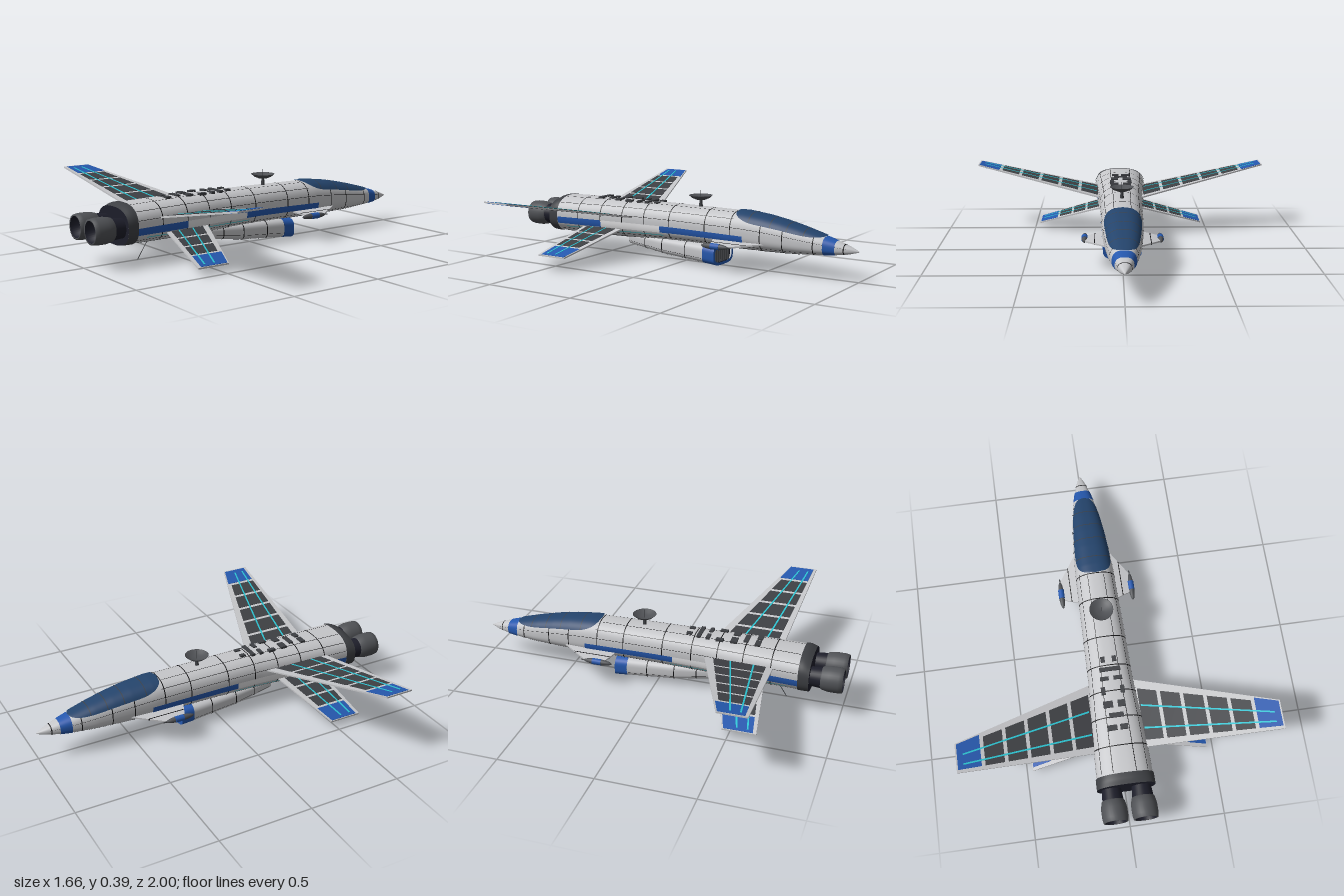
import * as THREE from 'three';

const mat = (name, color) => Object.assign(new THREE.MeshStandardMaterial({ color }), { name });
const M = {
  hull: mat('hull grey', 0xc6c7ca), white: mat('white stripe', 0xeeeef0), dark: mat('dark panel', 0x3e4044),
  navy: mat('engine navy', 0x1d1e2a), steel: mat('nozzle steel', 0x505256), blue: mat('blue paint', 0x2558ae),
  glass: mat('canopy glass', 0x24446c), cyan: mat('cyan line', 0x2cc6d4), seam: mat('panel seam', 0x121214),
};
const D = Math.PI / 180;

// Lofted hull: rows are [z, halfWidth, top, bottom, middle]; returns a surface function of z, angle from top, offset
function hullSurface(rows, n) {
  return (z, a, off = 0) => {
    let i = 0;
    while (i < rows.length - 2 && z > rows[i + 1][0]) i++;
    const p = rows[i], q = rows[i + 1], t = (z - p[0]) / (q[0] - p[0]);
    const [w, top, bot, mid] = [1, 2, 3, 4].map(k => p[k] + (q[k] - p[k]) * t);
    const s = Math.sin(a), c = Math.cos(a), e = 2 / n;
    const h = c > 0 ? top - mid : mid - bot;
    return [Math.sign(s) * Math.abs(s) ** e * (w + off), mid + Math.sign(c) * Math.abs(c) ** e * (h + off), z];
  };
}

// Part of a hull surface between two z values and two angles (angles may depend on z)
function patch(name, surf, material, z0, z1, a0, a1, off = 0, nz = 12, na = 8) {
  const f = v => (typeof v === 'function' ? v : () => v);
  const lo = f(a0), hi = f(a1), pos = [], idx = [];
  for (let i = 0; i <= nz; i++) {
    const z = z0 + (z1 - z0) * i / nz;
    for (let j = 0; j <= na; j++) pos.push(...surf(z, lo(z) + (hi(z) - lo(z)) * j / na, off));
  }
  for (let i = 0; i < nz; i++) for (let j = 0; j < na; j++) {
    const a = i * (na + 1) + j, b = a + na + 1;
    idx.push(a, b, a + 1, b, b + 1, a + 1);
  }
  const g = new THREE.BufferGeometry();
  g.setAttribute('position', new THREE.Float32BufferAttribute(pos, 3));
  g.setIndex(idx);
  g.computeVertexNormals();
  return mesh(name, g, material);
}

function mesh(name, g, material, x = 0, y = 0, z = 0) {
  const m = new THREE.Mesh(g, material);
  m.name = name;
  m.position.set(x, y, z);
  return m;
}

// Flat end outline of a hull surface, facing +z
function outline(surf, z, off) {
  const pts = [];
  for (let i = 0; i < 48; i++) { const p = surf(z, -i / 48 * Math.PI * 2, off); pts.push(new THREE.Vector2(p[0], p[1])); }
  return pts;
}

// Slab on a wing; w = { root: [x, y, zLead, zTrail], tip: [...] }, u along span, v along chord, h height
function slab(name, w, side, material, u0, u1, v0, v1, h0, h1) {
  const g = new THREE.BoxGeometry(1, 1, 1), p = g.attributes.position;
  const mix = (a, b, t) => a + (b - a) * t;
  const at = (v, t) => (Array.isArray(v) ? mix(v[0], v[1], t) : v);
  for (let i = 0; i < p.count; i++) {
    const t = 0.5 + side * p.getX(i), u = mix(u0, u1, t);
    const v = mix(at(v0, t), at(v1, t), p.getZ(i) + 0.5);
    const [x, y, zl, zt] = w.root.map((r, k) => mix(r, w.tip[k], u));
    p.setXYZ(i, side * x, y + mix(h0, h1, p.getY(i) + 0.5), mix(zl, zt, v));
  }
  g.computeVertexNormals();
  return mesh(name, g, material);
}

function wing(name, w, side, panels, blueFrom) {
  const g = new THREE.Group();
  g.name = name;
  g.add(slab('wingPlate', w, side, M.hull, 0, 1, 0, 1, -0.004, 0.004));
  const step = (blueFrom - 0.04) / panels;
  for (let i = 0; i < panels; i++)
    g.add(slab('wingPanel', w, side, M.dark, 0.04 + i * step, 0.04 + (i + 0.84) * step, 0.13, 0.9, -0.0055, 0.0055));
  g.add(slab('wingTipPaint', w, side, M.blue, blueFrom, 0.99, 0.04, 0.9, -0.0055, 0.0055));
  g.add(slab('frontGlowLine', w, side, M.cyan, 0.05, 0.95, [0.37, 0.41], [0.395, 0.46], 0.005, 0.007));
  g.add(slab('rearGlowLine', w, side, M.cyan, 0.05, 0.95, [0.71, 0.72], [0.735, 0.77], 0.005, 0.007));
  return g;
}

export function createModel() {
  const root = new THREE.Group();
  root.name = 'spacecraft';
  const add = (...m) => root.add(...m);

  // Fuselage
  const body = hullSurface([
    [-1, 0.002, 0.157, 0.153, 0.155], [-0.95, 0.025, 0.178, 0.139, 0.157], [-0.88, 0.045, 0.2, 0.128, 0.16],
    [-0.8, 0.063, 0.222, 0.121, 0.165], [-0.7, 0.079, 0.249, 0.115, 0.172], [-0.6, 0.09, 0.272, 0.112, 0.18],
    [-0.5, 0.098, 0.29, 0.11, 0.186], [-0.38, 0.105, 0.303, 0.11, 0.192], [0, 0.113, 0.306, 0.11, 0.2],
    [0.25, 0.118, 0.307, 0.104, 0.2], [0.5, 0.135, 0.307, 0.1, 0.2], [0.8, 0.147, 0.3, 0.1, 0.197], [0.83, 0.147, 0.285, 0.102, 0.195],
  ], 2.5);
  const PI = Math.PI;
  add(patch('fuselage', body, M.hull, -1, 0.83, -PI, PI, 0, 122, 80));
  add(patch('noseBand', body, M.blue, -0.885, -0.825, -PI, PI, 0.002, 4, 64));
  add(patch('rearCollar', body, M.dark, 0.775, 0.832, -PI, PI, 0.004, 4, 64));
  add(mesh('rearBulkhead', new THREE.ShapeGeometry(new THREE.Shape(outline(body, 0.83, 0.004))), M.navy, 0, 0, 0.832));

  // Canopy and its frames
  const edge = z => 60 * D * Math.sqrt(Math.max(0, 1 - Math.abs(2 * (z + 0.83) / 0.5 - 1) ** 5));
  add(patch('canopy', body, M.glass, -0.83, -0.33, z => -edge(z), edge, 0.006, 60, 32));
  for (const z of [-0.73, -0.64, -0.55, -0.43])
    add(patch('canopyFrame', body, M.dark, z, z + 0.004, -edge(z), edge(z), 0.0075, 1, 32));

  // Panel seams
  for (const z of [-0.93, -0.78, -0.62, -0.5, -0.33, -0.18, 0.04, 0.2, 0.34, 0.48, 0.63])
    add(patch('ringSeam', body, M.seam, z, z + 0.005, -PI, PI, 0.0018, 1, 72));
  for (const s of [1, -1]) {
    // Lengthwise seams, stripes and belly plating, mirrored
    const strip = (name, m, z0, z1, d0, d1, off) =>
      add(patch(name, body, m, z0, z1, Math.min(s * d0, s * d1) * D, Math.max(s * d0, s * d1) * D, off, 40, 6));
    strip('topSeam', M.seam, -0.32, 0.77, 18, 19.3, 0.0018);
    strip('shoulderSeam', M.seam, -0.34, 0.77, 49, 50.5, 0.0018);
    strip('sideSeam', M.seam, -0.95, 0.77, 76, 77, 0.0018);
    strip('lowerSeam', M.seam, -0.95, 0.77, 128, 129.5, 0.0018);
    strip('rearStripe', M.blue, 0.48, 0.775, 91, 109, 0.0025);
    strip('middleStripe', M.white, 0.1, 0.48, 91, 109, 0.0025);
    strip('frontStripe', M.blue, -0.4, 0.1, 91, 109, 0.0025);
    strip('sideGlowLine', M.cyan, 0.08, 0.72, 117, 119.5, 0.003);
    for (let i = 0; i < 6; i++) strip('bellyPanel', M.dark, -0.7 + i * 0.245, -0.47 + i * 0.245, 146, 177, 0.0015);

    // Wings
    add(wing('upperWing', { root: [0.1, 0.225, 0.27, 0.642], tip: [0.83, 0.37, 0.53, 0.68] }, s, 5, 0.83));
    add(wing('lowerWing', { root: [0.11, 0.155, 0.35, 0.6], tip: [0.468, 0.04, 0.47, 0.645] }, s, 3, 0.72));

    // Canards with tip pods
    const canard = { root: [0.09, 0.155, -0.52, -0.22], tip: [0.19, 0.14, -0.37, -0.26] };
    add(slab('canard', canard, s, M.hull, 0, 1, 0, 1, -0.004, 0.004));
    add(slab('canardSeam', canard, s, M.seam, 0.5, 0.54, 0, 1, -0.005, 0.005));
    const pod = mesh('canardPod', new THREE.SphereGeometry(0.016, 16, 12), M.steel, s * 0.194, 0.14, -0.29);
    pod.scale.z = 5;
    const band = mesh('canardPodBand', new THREE.CylinderGeometry(0.0165, 0.0165, 0.05, 16), M.blue, s * 0.194, 0.14, -0.295);
    band.rotation.x = PI / 2;
    const needle = mesh('canardNeedle', new THREE.CylinderGeometry(0.003, 0.003, 0.05, 8), M.dark, s * 0.194, 0.14, -0.36);
    needle.rotation.x = PI / 2;
    add(pod, band, needle);

    // Engines: neck, bell nozzle with a hollow bore and a centre cone
    const engine = new THREE.Group();
    engine.name = 'engine';
    const lathe = pts => new THREE.LatheGeometry(pts.map(p => new THREE.Vector2(...p)), 32);
    engine.add(mesh('engineNeck', new THREE.CylinderGeometry(0.056, 0.05, 0.08, 32), M.navy, 0, 0.04, 0));
    engine.add(mesh('nozzle', lathe([[0.05, 0.055], [0.06, 0.065], [0.067, 0.1], [0.067, 0.15], [0.063, 0.172], [0.055, 0.172]]), M.steel));
    engine.add(mesh('nozzleBore', lathe([[0.055, 0.172], [0.047, 0.11], [0.001, 0.11]]), M.navy));
    engine.add(mesh('nozzleCone', new THREE.ConeGeometry(0.022, 0.04, 20), M.navy, 0, 0.13, 0));
    engine.position.set(s * 0.077, 0.193, 0.828);
    engine.rotation.x = PI / 2;
    add(engine);
  }

  // Belly intake
  const scoop = hullSurface([
    [-0.23, 0.1, 0.118, 0.008, 0.06], [-0.16, 0.102, 0.125, 0.015, 0.065], [0.1, 0.09, 0.13, 0.034, 0.08], [0.34, 0.06, 0.13, 0.065, 0.1],
  ], 3.4);
  add(patch('intakeDuct', scoop, M.hull, -0.16, 0.34, -PI, PI, 0, 20, 64));
  add(patch('intakeLip', scoop, M.blue, -0.23, -0.16, -PI, PI, 0.001, 3, 64));
  for (const z of [-0.05, 0.1, 0.22]) add(patch('ductSeam', scoop, M.seam, z, z + 0.005, -PI, PI, 0.0015, 1, 64));
  for (const a of [100, 140]) for (const s of [1, -1])
    add(patch('ductLine', scoop, M.seam, -0.16, 0.34, (s * a - 0.7) * D, (s * a + 0.7) * D, 0.0015, 20, 1));
  add(mesh('ductEnd', new THREE.ShapeGeometry(new THREE.Shape(outline(scoop, 0.34, 0))), M.dark, 0, 0, 0.34));
  const rim = new THREE.Shape(outline(scoop, -0.23, 0.001));
  rim.holes.push(new THREE.Path(outline(scoop, -0.23, -0.014)));
  const mouth = new THREE.ShapeGeometry(new THREE.Shape(outline(scoop, -0.23, -0.005)));
  add(mesh('intakeRim', new THREE.ShapeGeometry(rim).rotateY(PI), M.blue, 0, 0, -0.23));
  add(mesh('intakeMouth', mouth.rotateY(PI), M.navy, 0, 0, -0.215));
  for (let i = -3; i <= 3; i++) add(mesh('intakeSlat', new THREE.BoxGeometry(0.005, 0.08, 0.01), M.dark, i * 0.022, 0.062, -0.221));

  // Dish antenna
  const bowl = [[0.001, 0], [0.025, 0.004], [0.047, 0.013], [0.063, 0.027], [0.06, 0.027], [0.045, 0.016], [0.025, 0.008], [0.001, 0.005]];
  add(mesh('dish', new THREE.LatheGeometry(bowl.map(p => new THREE.Vector2(...p)), 32), M.steel, 0, 0.338, -0.09));
  add(mesh('dishMast', new THREE.CylinderGeometry(0.007, 0.011, 0.04, 12), M.dark, 0, 0.322, -0.09));
  add(mesh('dishFeed', new THREE.CylinderGeometry(0.0015, 0.0015, 0.05, 6), M.dark, 0, 0.366, -0.09));

  // Dorsal equipment blocks [x, z, width, depth]
  for (const [x, z, w, d] of [[0.03, 0.17, 0.022, 0.03], [-0.03, 0.17, 0.022, 0.03], [0, 0.225, 0.11, 0.022], [0.035, 0.275, 0.045, 0.02],
    [-0.035, 0.275, 0.045, 0.02], [0.05, 0.34, 0.022, 0.04], [-0.05, 0.34, 0.022, 0.04], [0.035, 0.415, 0.04, 0.035],
    [-0.035, 0.415, 0.05, 0.035], [0, 0.475, 0.075, 0.025], [-0.03, 0.54, 0.05, 0.028], [0.03, 0.54, 0.04, 0.028]])
    add(mesh('dorsalBlock', new THREE.BoxGeometry(w, 0.02, d), M.dark, x, 0.303, z));

  // Trailing whip antenna under the tail
  const whip = new THREE.LineCurve3(new THREE.Vector3(0, 0.11, 0.63), new THREE.Vector3(0, 0.003, 0.7));
  add(mesh('whipAntenna', new THREE.TubeGeometry(whip, 1, 0.002, 6), M.dark));
  return root;
}
